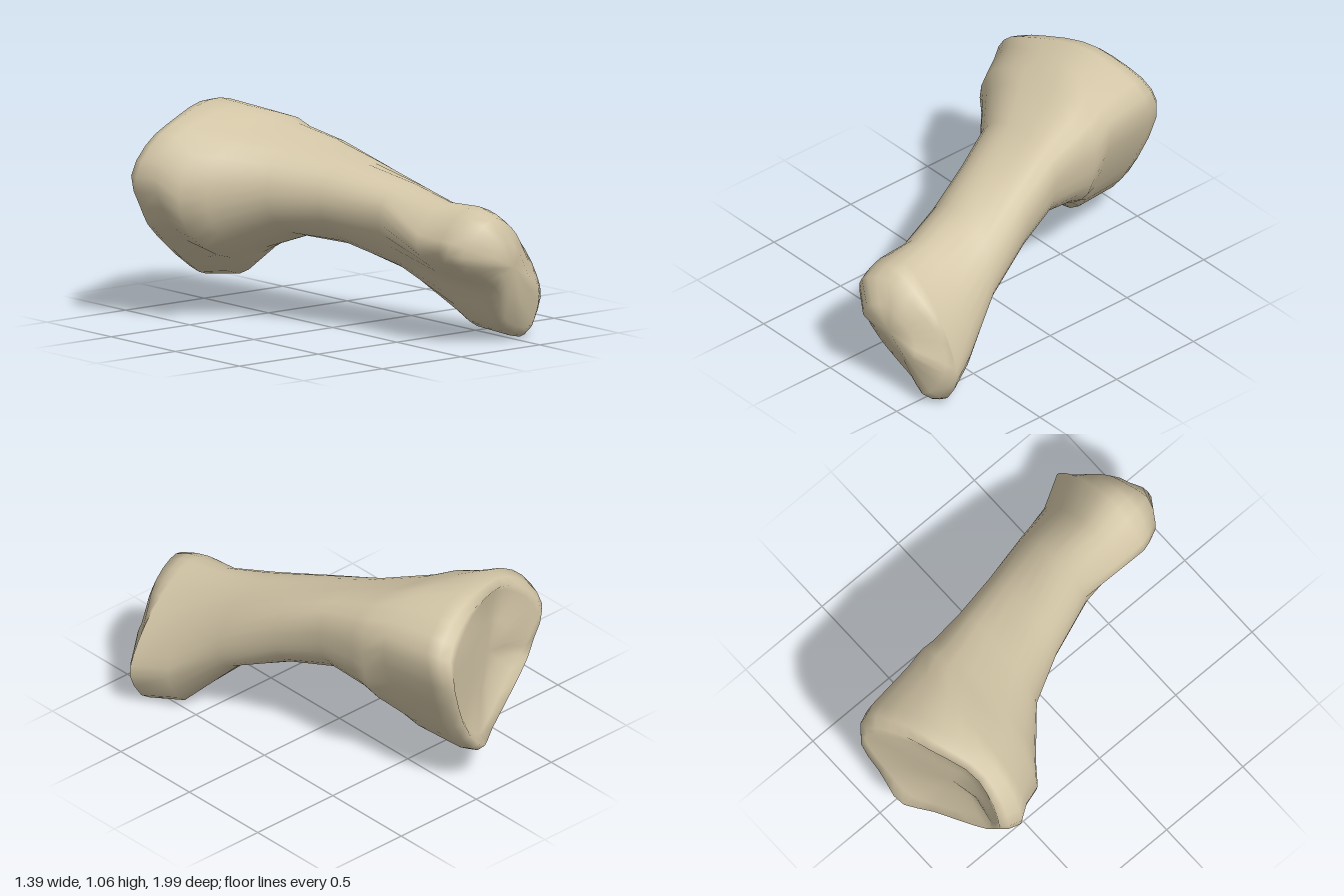
import * as THREE from 'three';
import { mergeVertices } from 'three/addons/utils/BufferGeometryUtils.js';

const CTRL = 12, SEG = 28;

// Outlines run counterclockwise as seen from the front
const headOutline = [
  [0.23, 0.70], [0.22, 0.90], [0.03, 1.02], [-0.17, 1.05], [-0.42, 1.0], [-0.6, 0.9],
  [-0.7, 0.73], [-0.64, 0.55], [-0.54, 0.42], [-0.22, 0.19], [-0.05, 0.19], [0.1, 0.37],
];
const rimZ = [-1.0, -0.96, -0.89, -0.84, -0.76, -0.76, -0.78, -0.77, -0.79, -0.86, -0.95, -0.96];
const knuckleOutline = [
  [0.67, 0.29], [0.58, 0.45], [0.45, 0.59], [0.3, 0.68], [0.15, 0.64], [0.04, 0.49],
  [0.13, 0.37], [0.27, 0.27], [0.36, 0.13], [0.44, 0.04], [0.58, 0], [0.69, 0.16],
];

// Sheared ellipse ring, optionally filled out at its upper left corner
function ellipse(z, cx, cy, rx, ry, shear = 0, fill = 0) {
  return Array.from({ length: CTRL }, (_, k) => {
    const t = (k / CTRL) * Math.PI * 2, c = Math.cos(t), s = Math.sin(t);
    const f = k < CTRL / 4 ? fill * 2 * s * c : 0;
    return new THREE.Vector3(cx + rx * c + f, cy + ry * s + shear * c + f, z);
  });
}

// Outline scaled by sx, sy about a centre; depth gives z from x, y and the point index
function outlineRing(outline, [cx, cy], sx, sy, depth) {
  return outline.map(([px, py], k) => {
    const x = cx + (px - cx) * sx, y = cy + (py - cy) * sy;
    return new THREE.Vector3(x, y, depth(x, y, k));
  });
}

// Joint face: a flat slope and a narrow wing meeting in an upright fold
function faceDepth(x, y) {
  return -0.73 - 0.5 * Math.max(0, x + 0.37) - 0.15 * Math.max(0, -0.37 - x)
    - 0.2 * Math.max(0, 0.45 - y);
}

// Front end: a slanted, bent ridge falling away on both sides
function ridgeDepth(x, y) {
  const d = y - (0.6 - 0.45 * x - 1.2 * Math.max(0, x - 0.42));
  const upper = 0.4 + 0.9 * Math.max(0, 0.4 - x);
  return 1.075 - 0.3 * x - Math.max(upper * d, -0.35 * d) - Math.max(0, 0.22 - x);
}

// Skin a sequence of rings into one smooth closed surface
function loft(rings) {
  const pos = [], idx = [];
  for (const ring of rings) {
    const curve = new THREE.CatmullRomCurve3(ring, true, 'catmullrom', 0.5);
    for (let k = 0; k < SEG; k++) pos.push(...curve.getPoint(k / SEG).toArray());
  }
  for (let i = 0; i < rings.length - 1; i++) {
    for (let k = 0; k < SEG; k++) {
      const a = i * SEG + k, b = i * SEG + (k + 1) % SEG, c = a + SEG, d = b + SEG;
      if (i > 0) idx.push(a, b, c);
      if (i < rings.length - 2) idx.push(b, d, c);
    }
  }
  let geo = new THREE.BufferGeometry();
  geo.setAttribute('position', new THREE.Float32BufferAttribute(pos, 3));
  geo.setIndex(idx);
  geo = mergeVertices(geo, 1e-5);
  geo.computeVertexNormals();
  return geo;
}

export function createModel() {
  const boneMaterial = new THREE.MeshStandardMaterial({ color: 0xd2c5a6 });
  boneMaterial.name = 'bone ivory';

  // Hollow joint face at the back, from its centre outwards
  const face = [0, 0.4, 0.79].map((s) => outlineRing(headOutline, [-0.28, 0.63], s, s, faceDepth));

  // Flared head
  const head = [
    outlineRing(headOutline, [-0.32, 0.63], 0.84, 0.88, (x, y, k) => rimZ[k]),
    outlineRing(headOutline, [-0.35, 0.63], 0.92, 0.96, (x, y, k) => rimZ[k] + 0.035),
    outlineRing(headOutline, [-0.5, 0.63], 0.97, 1, (x, y, k) => rimZ[k] + 0.1),
    outlineRing(headOutline, [0.5, 0.65], 0.95, 0.95, () => -0.6),
    ellipse(-0.48, -0.155, 0.635, 0.43, 0.34, 0, 0.06),
  ];

  // Slender shaft
  const shaft = [
    ellipse(-0.4, -0.1, 0.645, 0.38, 0.295, 0, 0.05),
    ellipse(-0.2, 0.025, 0.66, 0.285, 0.23, 0, 0.035),
    ellipse(0.05, 0.13, 0.612, 0.255, 0.21, -0.03, 0.02),
    ellipse(0.35, 0.245, 0.515, 0.245, 0.22, -0.06),
  ];

  // Slanted knuckle with a ridged front end
  const knuckle = [
    outlineRing(knuckleOutline, [0.04, 0.68], 0.85, 0.955, () => 0.6),
    outlineRing(knuckleOutline, [0.38, 0.36], 1, 1, () => 0.77),
    outlineRing(knuckleOutline, [0.38, 0.38], 0.95, 0.95,
      (x, y) => 0.77 + 0.55 * (ridgeDepth(x, y) - 0.77)),
    ...[0.85, 0.45, 0].map((s) => outlineRing(knuckleOutline, [0.38, 0.39], s, s, ridgeDepth)),
  ];

  const bone = new THREE.Mesh(loft([...face, ...head, ...shaft, ...knuckle]), boneMaterial);
  bone.name = 'bone';

  const group = new THREE.Group();
  group.name = 'limb bone';
  group.add(bone);
  return group;
}
